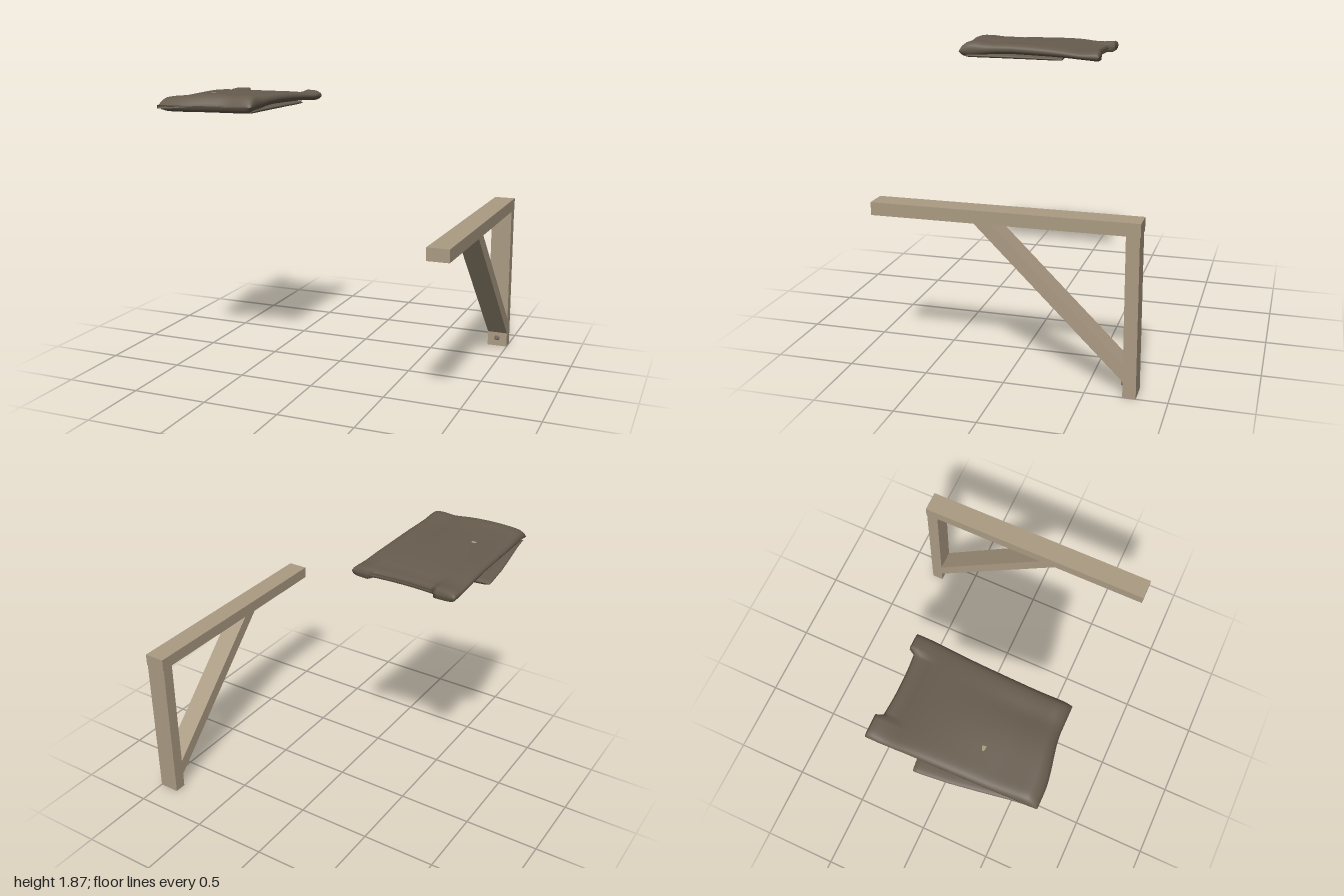
import * as THREE from 'three';

const wood = new THREE.MeshStandardMaterial({ name: 'tan wood', color: 0xab9b83 });
const cloth = new THREE.MeshStandardMaterial({ name: 'brown cloth', color: 0x675c4e });
const metal = new THREE.MeshStandardMaterial({ name: 'screw metal', color: 0x7d7262 });

const smooth = (a, b, x) => THREE.MathUtils.smoothstep(x, a, b);

function add(group, name, geometry, material, x = 0, y = 0, z = 0) {
  const mesh = new THREE.Mesh(geometry, material);
  mesh.name = name;
  mesh.position.set(x, y, z);
  group.add(mesh);
  return mesh;
}

// Soft closed slab lofted through stations [z, left x, right x, bottom y, top y];
// warp(p, u, isTop) bends each point.
function softSlab(stations, warp) {
  const n = 44, pos = [], index = [];
  for (const [z, xl, xr, yb, yt] of stations) {
    for (let j = 0; j < 2 * n; j++) {
      const isTop = j < n;
      const t = isTop ? j / n : (2 * n - j) / n;
      const u = 0.5 - 0.5 * Math.cos(Math.PI * t);
      const round = Math.sqrt(Math.max(0, 1 - Math.pow(Math.abs(2 * u - 1), 14)));
      const mid = (yb + yt) / 2, half = (yt - yb) / 2;
      const p = new THREE.Vector3(xl + (xr - xl) * u, mid + (isTop ? half : -half) * round, z);
      warp(p, u, isTop);
      pos.push(p.x, p.y, p.z);
    }
  }
  const m = 2 * n;
  for (let i = 0; i < stations.length - 1; i++) {
    for (let j = 0; j < m; j++) {
      const a = i * m + j, b = i * m + (j + 1) % m, c = a + m, d = b + m;
      index.push(a, c, b, b, c, d);
    }
  }
  const g = new THREE.BufferGeometry();
  g.setAttribute('position', new THREE.Float32BufferAttribute(pos, 3));
  g.setIndex(index);
  g.computeVertexNormals();
  return g;
}

// Round screw head with a cross of two ridges, facing +y
function screw(name) {
  const g = new THREE.Group();
  g.name = name;
  add(g, 'screwShank', new THREE.CylinderGeometry(0.011, 0.011, 0.014, 16), metal, 0, 0.004, 0);
  add(g, 'screwHead', new THREE.CylinderGeometry(0.014, 0.02, 0.008, 20), metal, 0, 0.012, 0);
  for (const s of [-1, 1]) {
    add(g, 'screwRidge', new THREE.BoxGeometry(0.022, 0.005, 0.006), metal, 0, 0.017, s * 0.006);
  }
  return g;
}

function makeBracket() {
  const g = new THREE.Group();
  g.name = 'shelfBracket';
  add(g, 'topBeam', new THREE.BoxGeometry(0.14, 0.08, 1.63), wood, 0.93, 1.035, 0);
  add(g, 'post', new THREE.BoxGeometry(0.138, 0.995, 0.08), wood, 0.93, 0.4975, -0.77);

  // Diagonal brace cut flush to beam and post
  const side = new THREE.Shape([[0.17, 0.995], [0.06, 0.995], [-0.73, 0.21], [-0.73, 0.1]]
    .map(([z, y]) => new THREE.Vector2(z, y)));
  const brace = new THREE.ExtrudeGeometry(side, { depth: 0.138, bevelEnabled: false });
  brace.rotateY(-Math.PI / 2);
  add(g, 'diagonalBrace', brace, wood, 0.999, 0, 0);

  const under = screw('beamScrew');
  under.rotation.x = Math.PI;
  under.position.set(0.93, 0.995, 0.7);
  const front = screw('postScrew');
  front.rotation.x = Math.PI / 2;
  front.position.set(0.93, 0.062, -0.73);
  g.add(under, front);
  return g;
}

function makeGarment() {
  const g = new THREE.Group();
  g.name = 'foldedGarment';

  // Upper layer: shoulder straps at the back, thick fold at the front
  const upper = [
    [-0.290, -0.935, -0.26, 1.800, 1.800],
    [-0.288, -0.94, -0.255, 1.772, 1.828],
    [-0.275, -0.94, -0.255, 1.765, 1.836],
    [-0.24, -0.94, -0.255, 1.768, 1.834],
    [-0.20, -0.94, -0.255, 1.772, 1.829],
    [-0.15, -0.938, -0.258, 1.775, 1.829],
    [-0.10, -0.938, -0.262, 1.778, 1.834],
    [-0.04, -0.936, -0.267, 1.781, 1.842],
    [0.05, -0.935, -0.275, 1.784, 1.850],
    [0.18, -0.932, -0.282, 1.787, 1.858],
    [0.32, -0.928, -0.287, 1.790, 1.863],
    [0.45, -0.925, -0.289, 1.786, 1.862],
    [0.56, -0.92, -0.289, 1.775, 1.864],
    [0.64, -0.918, -0.288, 1.764, 1.872],
    [0.69, -0.916, -0.287, 1.760, 1.872],
    [0.72, -0.915, -0.286, 1.763, 1.862],
    [0.745, -0.913, -0.286, 1.772, 1.843],
    [0.757, -0.911, -0.287, 1.786, 1.823],
    [0.762, -0.908, -0.29, 1.804, 1.804],
  ];
  add(g, 'upperLayer', softSlab(upper, (p, u, isTop) => {
    const neck = smooth(0.2, 0.215, u) * (1 - smooth(0.825, 0.84, u));
    const back = 1 - smooth(-0.29, -0.1, p.z);
    if (isTop) {
      p.y -= 0.018 * neck * back;                              // sunken neckline
      p.y -= 0.022 * (1 - smooth(0, 0.55, u)) * smooth(-0.1, 0.4, p.z);
      p.y -= 0.007 * Math.exp(-(((u - 0.75) / 0.1) ** 2)) * smooth(0, 0.5, p.z);
    }
    p.z += neck * back * (0.022 + 0.026 * Math.sin(Math.PI * u));
    p.z -= 0.052 * smooth(0.15, 0.75, u) * smooth(0.3, 0.74, p.z); // slanted front edge
  }), cloth);

  // Lower layer folded beneath, skewed out on one side
  const lower = [
    [-0.030, -0.995, -0.285, 1.773, 1.773],
    [-0.027, -1.0, -0.28, 1.762, 1.784],
    [0.0, -1.0, -0.28, 1.760, 1.788],
    [0.2, -0.982, -0.285, 1.760, 1.790],
    [0.4, -0.956, -0.288, 1.760, 1.792],
    [0.6, -0.925, -0.29, 1.760, 1.79],
    [0.68, -0.915, -0.29, 1.760, 1.79],
    [0.72, -0.912, -0.292, 1.773, 1.773],
  ];
  add(g, 'lowerLayer', softSlab(lower, (p, u) => {
    p.z += 0.068 * (1 - u) * (1 - smooth(0, 0.6, p.z));
    p.z -= 0.04 * u * smooth(0.4, 0.72, p.z);
  }), cloth);

  // Small pale patch on top
  const patch = add(g, 'palePatch', new THREE.CylinderGeometry(1, 1, 0.006, 20), wood, -0.722, 1.852, 0.355);
  patch.scale.set(0.03, 1, 0.012);
  patch.rotation.y = 0.1;
  return g;
}

export function createModel() {
  const model = new THREE.Group();
  model.name = 'bracketAndGarment';
  model.add(makeBracket(), makeGarment());
  return model;
}
